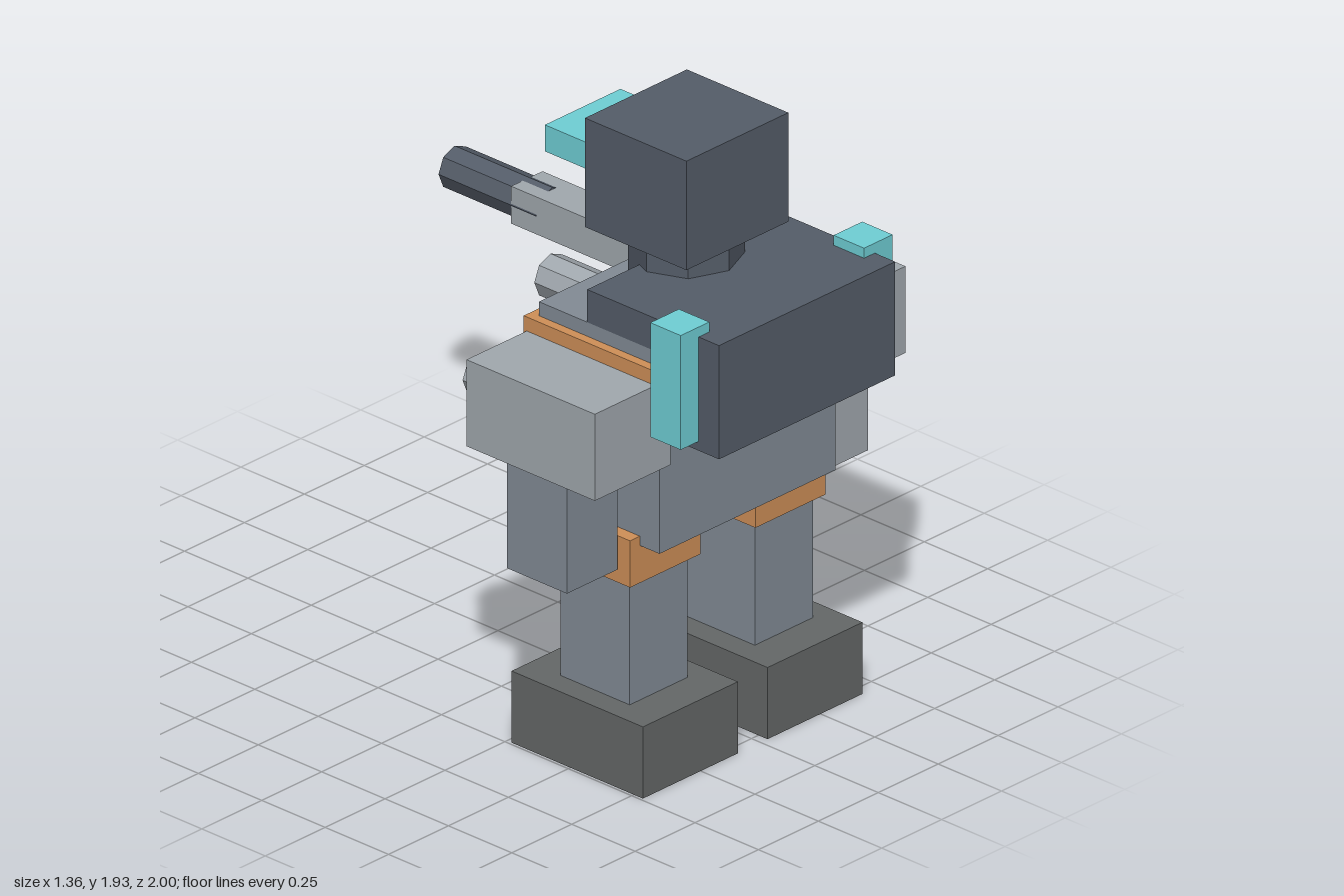
import * as THREE from 'three';

const material = (color) => new THREE.MeshStandardMaterial({ color, flatShading: true });

export function createModel() {
  const dark = material(0x555d69);
  const grey = material(0x838c96);
  const light = material(0xa2a9af);
  const orange = material(0xd09058);
  const cyan = material(0x70d0d6);
  const sole = material(0x656868);

  const root = new THREE.Group();
  root.name = 'robot';

  const add = (name, geometry, mat) => {
    const mesh = new THREE.Mesh(geometry, mat);
    mesh.name = name;
    root.add(mesh);
    return mesh;
  };
  // Box given by its [min, max] range on each axis
  const box = (name, mat, [x0, x1], [y0, y1], [z0, z1]) =>
    add(name, new THREE.BoxGeometry(x1 - x0, y1 - y0, z1 - z0), mat)
      .position.set((x0 + x1) / 2, (y0 + y1) / 2, (z0 + z1) / 2);
  // Octagonal rod along z
  const rod = (name, mat, x, y, r, [z0, z1]) =>
    add(name, new THREE.CylinderGeometry(r, r, z1 - z0, 8).rotateX(Math.PI / 2), mat)
      .position.set(x, y, (z0 + z1) / 2);

  const midX = -0.033; // the body's own centre line

  // Head, visor and neck (the robot looks toward -z)
  box('head', dark, [-0.245, 0.18], [1.585, 1.935], [0.325, 0.725]);
  box('visor', cyan, [-0.19, 0.125], [1.735, 1.82], [0.115, 0.325]);
  add('neck', new THREE.CylinderGeometry(0.168, 0.168, 0.195, 8), dark)
    .position.set(midX, 1.4875, 0.525);

  // Torso and chest band
  box('torso', grey, [-0.4, 0.335], [0.745, 1.39], [0.29, 0.765]);
  box('chestBand', orange, [-0.43, 0.365], [1.165, 1.345], [0.258, 0.793]);

  // Backpack hooked over the top of the torso, L-shaped in profile (shape x = -z)
  const hook = new THREE.Shape([
    [-1, 1.13], [-0.765, 1.13], [-0.765, 1.39], [-0.48, 1.39], [-0.48, 1.495], [-1, 1.495],
  ].map(([a, b]) => new THREE.Vector2(a, b)));
  const pack = new THREE.ExtrudeGeometry(hook, { depth: 0.735, bevelEnabled: false });
  pack.rotateY(Math.PI / 2);
  add('backpack', pack, dark).position.x = -0.4;

  // Mirrored limbs, with x ranges measured from the body's centre line
  for (const side of [-1, 1]) {
    const label = side > 0 ? 'left' : 'right';
    const span = (a, b) => [midX + side * a, midX + side * b].sort((p, q) => p - q);
    box(`${label}PackLight`, cyan, span(0.323, 0.442), [1.16, 1.527], [0.8, 0.92]);
    box(`${label}Shoulder`, light, span(0.333, 0.648), [1.022, 1.3], [0.27, 0.776]);
    rod(`${label}ShoulderBolt`, light, midX + side * 0.581, 1.22, 0.055, [0.243, 0.29]);
    box(`${label}Arm`, light, span(0.416, 0.628), [0.672, 1.022], [0.41, 0.647]);
    box(`${label}HipGuard`, orange, span(0.115, 0.408), [0.625, 0.775], [0.368, 0.688]);
    box(`${label}Leg`, grey, span(0.14, 0.382), [0.23, 0.63], [0.39, 0.662]);
    box(`${label}Foot`, sole, span(0.062, 0.458), [0, 0.23], [0.268, 0.786]);
  }
  // The unarmed forearm is painted in the torso grey
  root.getObjectByName('rightArm').material = grey;

  // Twin-barrelled gun on one arm
  box('upperGunBody', light, [0.547, 0.678], [0.945, 1.065], [-0.715, 0.48]);
  rod('upperBarrel', dark, 0.6125, 1.005, 0.067, [-1, -0.615]);
  box('lowerGunBody', dark, [0.466, 0.661], [0.73, 0.915], [-0.3, 0.433]);
  rod('lowerBarrel', light, 0.5635, 0.823, 0.068, [-0.575, -0.28]);
  box('gunStrip', orange, [0.55, 0.655], [0.91, 0.917], [-0.295, 0.25]);

  return root;
}
